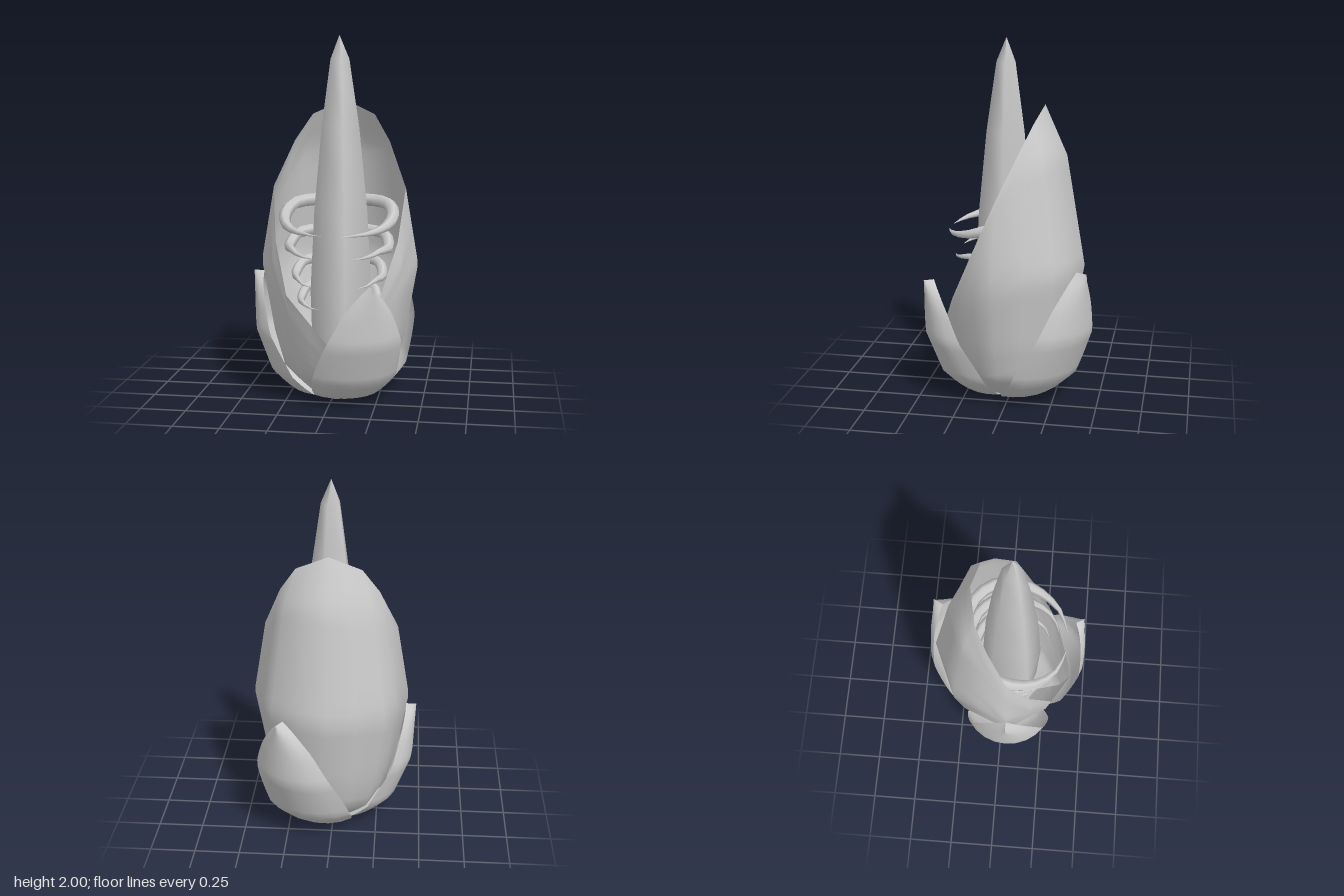
import * as THREE from 'three';
import { ParametricGeometry } from 'three/addons/geometries/ParametricGeometry.js';

const material = new THREE.MeshStandardMaterial({ color: 0xcccccc, side: THREE.DoubleSide });

// Piecewise-linear lookup in a list of [key, value] pairs
function lookup(table, y) {
  for (let i = 1; i < table.length; i++) {
    const [y0, r0] = table[i - 1];
    const [y1, r1] = table[i];
    if (y <= y1) return r0 + (r1 - r0) * (y - y0) / (y1 - y0);
  }
  return table[table.length - 1][1];
}

function addMesh(parent, geometry, name) {
  const mesh = new THREE.Mesh(geometry, material);
  mesh.name = name;
  parent.add(mesh);
  return mesh;
}

function shell(surface, slices, stacks) {
  const geometry = new ParametricGeometry(surface, slices, stacks);
  geometry.computeVertexNormals();
  return geometry;
}

// Hood: eight-sided bulb cut by a slanting plane, low at the front
const HOOD = [[0, 0.15], [0.04, 0.2], [0.14, 0.31], [0.35, 0.37], [0.75, 0.44], [1.37, 0.335], [1.65, 0.21]];
const CORNERS = [1, 0.87, 1, 1, 1, 1, 1, 0.87, 1];

function hoodPoint(u, y, target) {
  const k = Math.min(7, Math.floor(u * 8));
  const t = u * 8 - k;
  const a = k * Math.PI / 4;
  const b = a + Math.PI / 4;
  const r = lookup(HOOD, y);
  const ra = CORNERS[k] * (1 - t) * r;
  const rb = CORNERS[k + 1] * t * r;
  return target.set(ra * Math.sin(a) + rb * Math.sin(b), y, ra * Math.cos(a) + rb * Math.cos(b));
}

function rimHeight(u) {
  const p = new THREE.Vector3();
  let low = 0, high = 1.65;
  for (let i = 0; i < 30; i++) {
    const y = (low + high) / 2;
    hoodPoint(u, y, p);
    if (y < 0.35 + (0.37 - p.z) * 2.22) low = y;
    else high = y;
  }
  return low;
}

// Outer petal: pointed piece of a cup, centred on +z
const PETAL_RADIUS = [[0, 0.12], [0.04, 0.27], [0.14, 0.38], [0.37, 0.47], [0.69, 0.485]];
const PETAL_WIDTH = [[0, 62], [0.14, 49], [0.37, 32], [0.53, 20], [0.64, 8], [0.69, 0]];

function petalPoint(u, v, target) {
  const side = 2 * u - 1;
  const y = 0.69 * v;
  const angle = THREE.MathUtils.degToRad(lookup(PETAL_WIDTH, y)) * side;
  const r = lookup(PETAL_RADIUS, y) * (1 - 0.12 * side * side);
  target.set(r * Math.sin(angle), y, r * Math.cos(angle));
}

// Rib: tube narrowing to a sharp tip
function ribGeometry(points, radius) {
  const curve = new THREE.CatmullRomCurve3(points);
  const rows = 12, sides = 6;
  const geometry = new THREE.TubeGeometry(curve, rows, radius, sides);
  const position = geometry.attributes.position;
  const p = new THREE.Vector3();
  for (let i = 0; i <= rows; i++) {
    const centre = curve.getPointAt(i / rows);
    const scale = Math.min(1, 0.02 + 2.2 * (1 - i / rows));
    for (let j = 0; j <= sides; j++) {
      const n = i * (sides + 1) + j;
      p.fromBufferAttribute(position, n).sub(centre).multiplyScalar(scale).add(centre);
      position.setXYZ(n, p.x, p.y, p.z);
    }
  }
  return geometry;
}

export function createModel() {
  const model = new THREE.Group();
  model.name = 'hoodedFlower';
  const body = new THREE.Group();
  body.name = 'flower';
  body.position.set(0.02, 0, 0.04);
  model.add(body);

  // Central five-sided spike
  const profile = [[0, 0.01], [0.13, 0.01], [0.165, 0.2], [0.18, 0.6], [0.155, 1.05], [0.11, 1.5], [0.055, 1.87], [0, 2]];
  const spike = new THREE.LatheGeometry(profile.map(([r, y]) => new THREE.Vector2(r, y)), 5, Math.PI / 2);
  addMesh(body, spike, 'centralSpike');

  // Large hood
  addMesh(body, shell((u, v, target) => hoodPoint(u, v * rimHeight(u), target), 16, 24), 'hood');

  // Three outer petals: front left, back left, right
  const petals = [[30, 1, 1, 'frontPetal'], [151, 1.13, 1.13, 'backPetal'], [270, 1, 1, 'sidePetal']];
  for (const [degrees, spread, height, name] of petals) {
    const petal = addMesh(body, shell(petalPoint, 8, 19), name);
    petal.rotation.y = THREE.MathUtils.degToRad(degrees);
    petal.scale.set(spread, height, spread);
  }

  // Four mirrored pairs of curved ribs: half width, back height, tip x, y, z, thickness
  const ribs = [
    [0.31, 1.07, 0.05, 0.94, 0.315, 0.035],
    [0.285, 0.9, 0.1, 0.81, 0.27, 0.032],
    [0.25, 0.74, 0.13, 0.645, 0.215, 0.029],
    [0.22, 0.6, 0.09, 0.505, 0.155, 0.026],
  ];
  for (const side of [1, -1]) {
    ribs.forEach(([w, y, tipX, tipY, tipZ, radius], i) => {
      const path = [
        [0.03, y, -0.85 * w],
        [0.55 * w, y, -0.7 * w],
        [0.87 * w, y - 0.01, -0.36 * w],
        [0.97 * w, y - 0.06, 0.1 * w],
        [0.85 * w, tipY + 0.03, 0.53 * w],
        [0.5 * w + 0.4 * tipX, tipY + 0.01, 0.25 * w + 0.6 * tipZ],
        [tipX, tipY, tipZ],
      ];
      const points = path.map(([x, h, z]) => new THREE.Vector3(side * x, h, z));
      addMesh(body, ribGeometry(points, radius), (side > 0 ? 'leftRib' : 'rightRib') + (i + 1));
    });
  }
  return model;
}
